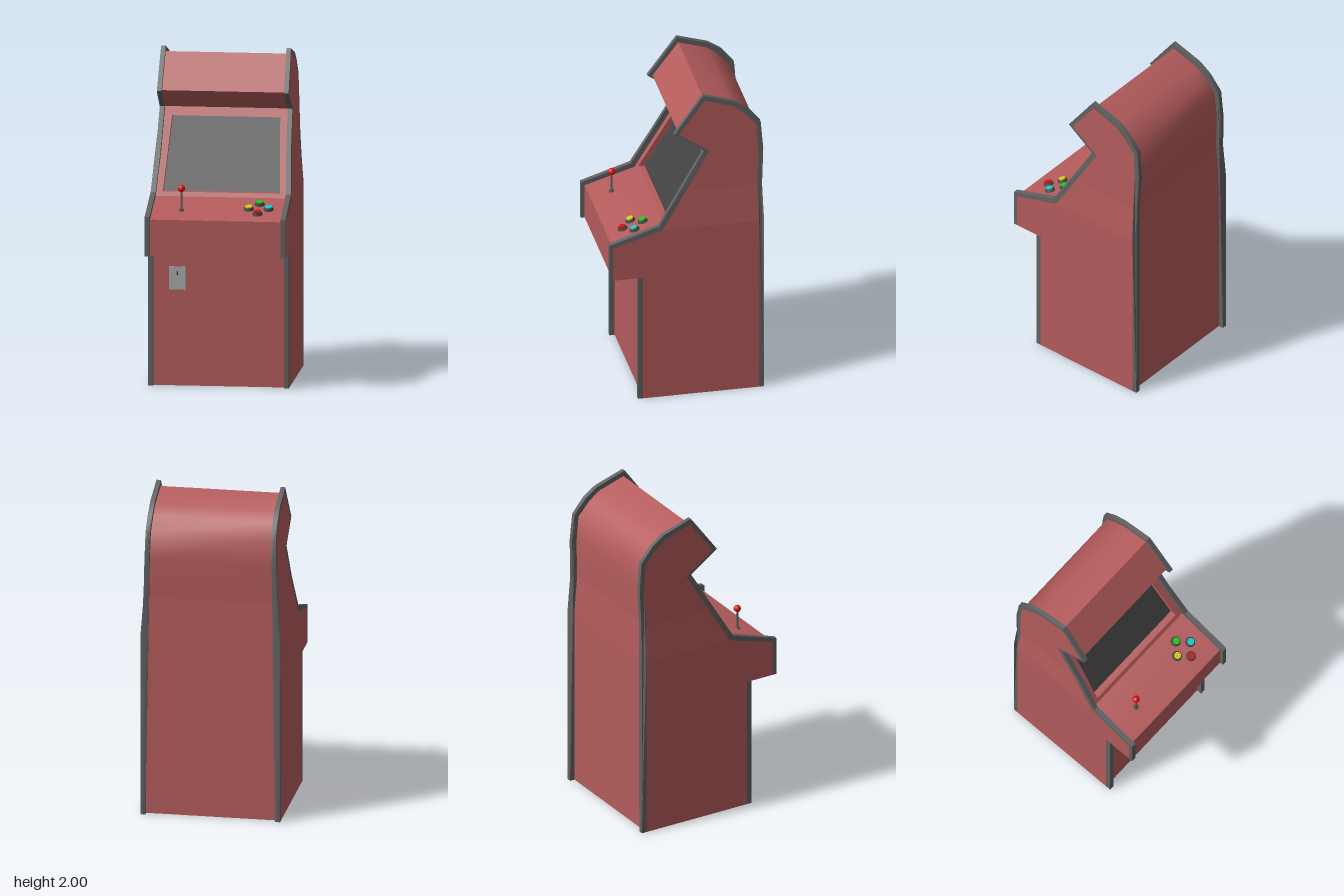
import * as THREE from 'three';
import { toCreasedNormals } from 'three/addons/utils/BufferGeometryUtils.js';

const paint = (color) => new THREE.MeshStandardMaterial({ color });
const red = paint(0xb55c5c), trimGrey = paint(0x626262), screenGrey = paint(0x424242);
const metal = paint(0xaaaaaa), darkGrey = paint(0x4a4a4a), ballRed = paint(0xdd1111);

const HALF = 0.425;          // half width of the lower cabinet
const TRIM = 0.03;           // thickness of the edge trim

// half width of the cabinet narrows with height
function widthAt(y) {
  const steps = [[0, 1], [1.13, 1], [1.37, 0.96], [1.625, 0.942], [2, 0.922]];
  for (let i = 1; i < steps.length; i++) {
    const [y0, w0] = steps[i - 1], [y1, w1] = steps[i];
    if (y <= y1) return w0 + (w1 - w0) * (y - y0) / (y1 - y0);
  }
  return 0.922;
}

function taper(geo) {
  const p = geo.attributes.position;
  for (let i = 0; i < p.count; i++) p.setX(i, p.getX(i) * widthAt(p.getY(i)));
  return toCreasedNormals(geo, 0.7);
}

// extrude a side profile of [z, y] points between x0 and x1
function sideExtrude(points, x0, x1) {
  const shape = new THREE.Shape(points.map(([z, y]) => new THREE.Vector2(z, y)));
  const geo = new THREE.ExtrudeGeometry(shape, { depth: x1 - x0, bevelEnabled: false });
  geo.rotateY(-Math.PI / 2).translate(x1, 0, 0);
  return taper(geo);
}

// lean a geometry back along the slope of the monitor
function lean(geo) {
  const p = geo.attributes.position;
  for (let i = 0; i < p.count; i++) p.setZ(i, p.getZ(i) + 0.148 - 0.592 * (p.getY(i) - 1.13));
  return taper(geo);
}

function add(parent, name, geo, mat, x = 0, y = 0, z = 0) {
  const mesh = new THREE.Mesh(geo, mat);
  mesh.name = name;
  mesh.position.set(x, y, z);
  parent.add(mesh);
  return mesh;
}

export function createModel() {
  const model = new THREE.Group();
  model.name = 'arcadeCabinet';

  // cabinet body in three stacked sections
  const back = [[-0.29, 1.91], [-0.355, 1.86], [-0.43, 1.775], [-0.442, 1.61], [-0.433, 1.37]];
  add(model, 'lowerBody', sideExtrude([[0.268, 0], [0.268, 0.82], [0.452, 0.82], [0.452, 1.04],
    [0.148, 1.13], [-0.442, 1.13], [-0.442, 0]], -HALF, HALF), red);
  add(model, 'middleBody', sideExtrude([[0.1015, 1.13], [-0.0405, 1.37], [-0.433, 1.37],
    [-0.442, 1.13]], -HALF, HALF), red);
  add(model, 'upperBodyAndHood', sideExtrude([[-0.0405, 1.37], [-0.1915, 1.625], [-0.145, 1.625],
    [0.042, 1.755], [-0.115, 1.965], ...back], -HALF, HALF), red);

  // monitor surround with an opening
  const frame = new THREE.Shape();
  [[-HALF, 1.13], [HALF, 1.13], [HALF, 1.37], [HALF, 1.625], [-HALF, 1.625], [-HALF, 1.37]]
    .forEach(([x, y], i) => (i ? frame.lineTo(x, y) : frame.moveTo(x, y)));
  const opening = new THREE.Path();
  [[-0.355, 1.155], [-0.353, 1.37], [-0.345, 1.575], [0.345, 1.575], [0.353, 1.37], [0.355, 1.155]]
    .forEach(([x, y], i) => (i ? opening.lineTo(x, y) : opening.moveTo(x, y)));
  frame.holes.push(opening);
  const surround = new THREE.ExtrudeGeometry(frame, { depth: 0.0465, bevelEnabled: false });
  add(model, 'monitorSurround', lean(surround.translate(0, 0, -0.0465)), red);

  // screen at the back of the opening
  const screen = new THREE.BoxGeometry(0.72, 0.44, 0.006, 1, 4, 1).translate(0, 1.365, -0.0425);
  add(model, 'screen', lean(screen), screenGrey);

  // edge trim following both side profiles
  const outer = [[0.475, 0.82], [0.475, 1.06], [0.17, 1.158], [0.044, 1.37], [-0.11, 1.63],
    [0.072, 1.755], [-0.107, 2], [-0.3, 1.94], [-0.38, 1.885], [-0.458, 1.79], [-0.473, 1.61],
    [-0.464, 1.37], [-0.473, 1.13], [-0.473, 0]];
  const inner = [[0.452, 0.82], [0.452, 1.04], [0.148, 1.13], [0.006, 1.37], [-0.145, 1.625],
    [0.042, 1.755], [-0.115, 1.965], ...back, [-0.442, 1.13], [-0.442, 0]];
  const loop = [...outer, ...inner.reverse()];
  const leg = [[0.3, 0], [0.3, 0.82], [0.268, 0.82], [0.268, 0]];
  for (const [side, x0] of [['left', HALF - TRIM], ['right', -HALF]]) {
    add(model, side + 'EdgeTrim', sideExtrude(loop, x0, x0 + TRIM), trimGrey);
    add(model, side + 'FrontTrim', sideExtrude(leg, x0, x0 + TRIM), trimGrey);
  }

  // coin door
  add(model, 'coinDoor', new THREE.BoxGeometry(0.1, 0.14, 0.014), metal, -0.25, 0.655, 0.272);
  add(model, 'coinSlot', new THREE.BoxGeometry(0.008, 0.024, 0.004), darkGrey, -0.25, 0.685, 0.279);

  // joystick
  const panelY = (z) => 1.04 + 0.296 * (0.452 - z);
  const tilt = Math.atan(0.296);
  const stick = new THREE.Group();
  stick.name = 'joystick';
  stick.position.set(-0.22, panelY(0.325), 0.325);
  add(stick, 'joystickBase', new THREE.CylinderGeometry(0.014, 0.02, 0.012, 24), darkGrey).rotation.x = tilt;
  add(stick, 'joystickShaft', new THREE.CylinderGeometry(0.006, 0.007, 0.13, 16), trimGrey, 0, 0.06, 0);
  add(stick, 'joystickBall', new THREE.SphereGeometry(0.022, 24, 16), ballRed, 0, 0.133, 0);
  model.add(stick);

  // four buttons in a diamond
  const buttons = [['green', 0x11cc11, 0.242, 0.232], ['yellow', 0xcccc11, 0.183, 0.295],
    ['cyan', 0x11cccc, 0.302, 0.295], ['red', 0xcc1111, 0.242, 0.355]];
  for (const [name, color, x, z] of buttons) {
    const button = new THREE.Group();
    button.name = name + 'Button';
    button.position.set(x, panelY(z), z);
    button.rotation.x = tilt;
    add(button, 'buttonCollar', new THREE.CylinderGeometry(0.025, 0.031, 0.016, 24), darkGrey, 0, 0.008, 0);
    add(button, 'buttonCap', new THREE.CylinderGeometry(0.021, 0.021, 0.021, 24), paint(color), 0, 0.0105, 0);
    model.add(button);
  }
  return model;
}
